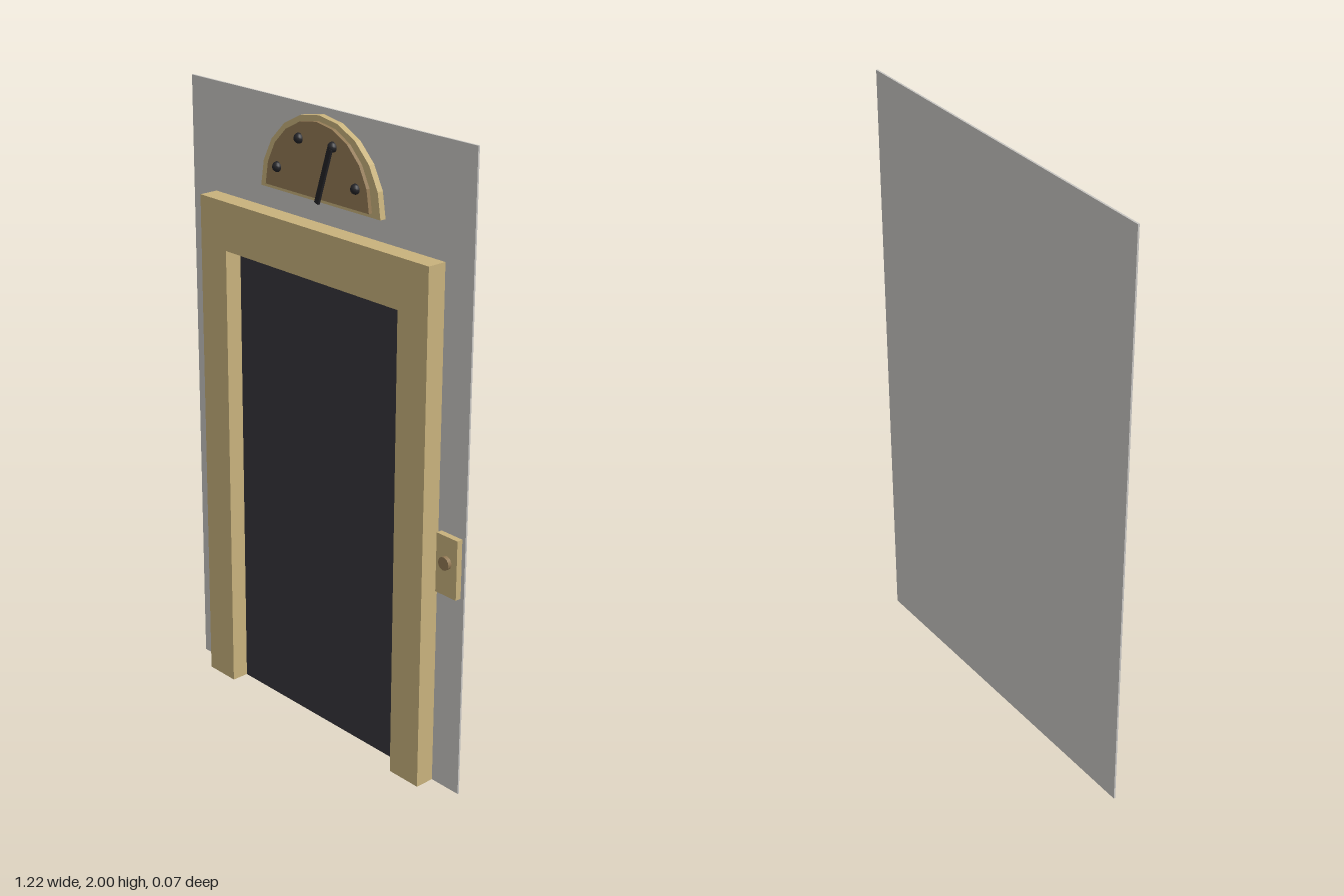
import * as THREE from 'three';

const mat = (name, color) => {
  const m = new THREE.MeshStandardMaterial({ color });
  m.name = name;
  return m;
};

export function createModel() {
  const group = new THREE.Group();
  const wallGrey = mat('wallGrey', 0xc8c6c2);
  const brass = mat('brass', 0xc8b27c);
  const bronze = mat('bronze', 0x927955);
  const charcoal = mat('charcoal', 0x36353b);
  const black = mat('black', 0x222226);

  const add = (name, geometry, material, x = 0, y = 0, z = 0) => {
    const mesh = new THREE.Mesh(geometry, material);
    mesh.name = name;
    mesh.position.set(x, y, z);
    group.add(mesh);
    return mesh;
  };
  // Box given by its limits on each axis
  const box = (name, material, [x0, x1], [y0, y1], [z0, z1]) =>
    add(name, new THREE.BoxGeometry(x1 - x0, y1 - y0, z1 - z0), material,
      (x0 + x1) / 2, (y0 + y1) / 2, (z0 + z1) / 2);
  const extrude = (shape, depth) =>
    new THREE.ExtrudeGeometry(shape, { depth, bevelEnabled: false });

  const wallFront = -0.029;

  // Wall panel and door
  box('wall', wallGrey, [-0.61, 0.61], [0, 2], [-0.035, wallFront]);
  box('door', charcoal, [-0.38, 0.38], [0, 1.505], [wallFront, -0.022]);

  // Door surround: one arch-shaped outline, open at the bottom
  const surround = new THREE.Shape([
    [-0.5, 0], [-0.38, 0], [-0.38, 1.5], [0.38, 1.5],
    [0.38, 0], [0.5, 0], [0.5, 1.655], [-0.5, 1.655],
  ].map(([x, y]) => new THREE.Vector2(x, y)));
  add('doorFrame', extrude(surround, 0.035 - wallFront), brass, 0, 0, wallFront);

  // Half-round floor indicator: brass backing and raised bronze face
  const halfDisc = (rx, ry, segments = 10) => {
    const points = [];
    for (let i = 0; i <= segments; i++) {
      const a = (Math.PI * i) / segments;
      points.push(new THREE.Vector2(rx * Math.cos(a), ry * Math.sin(a)));
    }
    return new THREE.Shape(points);
  };
  add('dialBacking', extrude(halfDisc(0.26, 0.255), -0.009 - wallFront), brass, 0, 1.725, wallFront);
  add('dialFace', extrude(halfDisc(0.225, 0.225), 0.013), bronze, 0, 1.738, -0.01);

  // Floor markers
  for (const side of [-1, 1]) {
    for (const [x, y] of [[0.17, 1.8], [0.073, 1.903]]) {
      add('floorMarker', new THREE.SphereGeometry(0.016, 12, 8), black, side * x, y, 0.004);
    }
  }

  // Pointer
  const from = new THREE.Vector2(0.019, 1.73);
  const to = new THREE.Vector2(0.075, 1.9);
  const dir = to.clone().sub(from);
  const pointer = add('pointer', new THREE.BoxGeometry(0.017, dir.length(), 0.008), black,
    (from.x + to.x) / 2, (from.y + to.y) / 2, 0.016);
  pointer.rotation.z = dir.angle() - Math.PI / 2;

  // Call button on its plate
  box('buttonPlate', brass, [0.513, 0.597], [0.657, 0.847], [wallFront, -0.009]);
  const button = add('callButton', new THREE.CylinderGeometry(0.021, 0.021, 0.014, 16), bronze,
    0.555, 0.765, -0.003);
  button.rotation.x = Math.PI / 2;

  return group;
}
